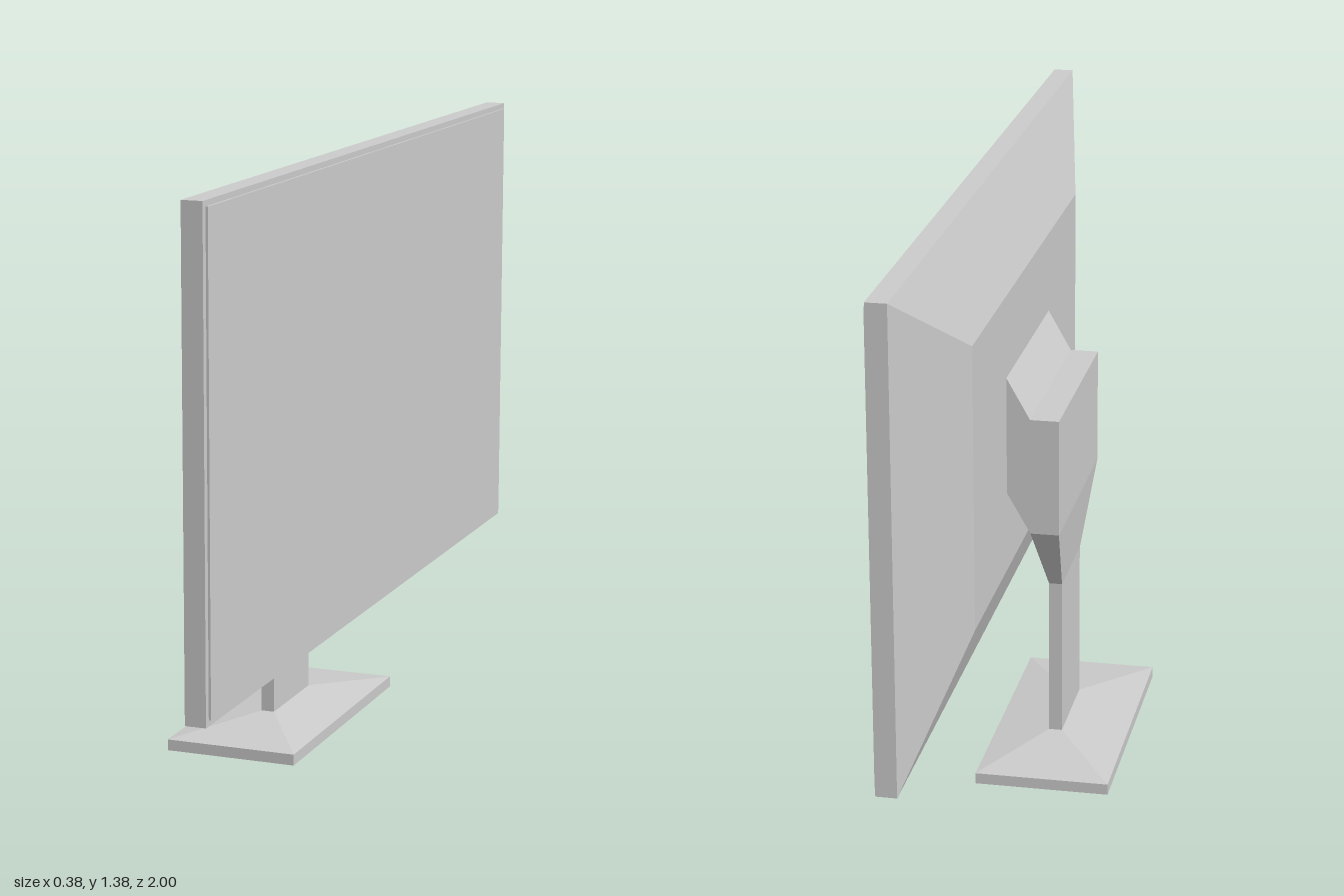
import * as THREE from 'three';

const material = new THREE.MeshStandardMaterial({ color: 0xcccccc, flatShading: true });

// Closed loft through four-cornered rings, each ring counter-clockwise seen from the loft's far end
function loft(name, rings) {
  const index = [];
  for (let r = 0; r < rings.length - 1; r++) {
    for (let i = 0; i < 4; i++) {
      const a = r * 4 + i, b = r * 4 + (i + 1) % 4;
      index.push(a, b, b + 4, a, b + 4, a + 4);
    }
  }
  const t = (rings.length - 1) * 4;
  index.push(0, 2, 1, 0, 3, 2, t, t + 1, t + 2, t, t + 2, t + 3);
  let geometry = new THREE.BufferGeometry();
  geometry.setAttribute('position', new THREE.Float32BufferAttribute(rings.flat(2), 3));
  geometry.setIndex(index);
  geometry = geometry.toNonIndexed();
  geometry.computeVertexNormals();
  const mesh = new THREE.Mesh(geometry, material);
  mesh.name = name;
  return mesh;
}

// Rectangle at height y, and rectangle at depth x; both symmetric in z
const level = (y, x0, x1, z) => [[x0, y, z], [x1, y, z], [x1, y, -z], [x0, y, -z]];
const slice = (x, y0, y1, z) => [[x, y0, -z], [x, y1, -z], [x, y1, z], [x, y0, z]];

export function createModel() {
  const group = new THREE.Group();
  group.name = 'monitor';

  // Stand: low pyramid base, flat column, flared neck
  group.add(
    loft('base', [
      level(0, -0.192, 0.12, 0.33),
      level(0.026, -0.192, 0.12, 0.33),
      level(0.05, -0.044, -0.013, 0.115),
    ]),
    loft('column', [
      level(0.05, -0.044, -0.013, 0.115),
      level(0.427, -0.044, -0.013, 0.115),
    ]),
    loft('neck', [
      level(0.427, -0.044, -0.013, 0.115),
      level(0.605, -0.062, 0.004, 0.25),
    ]),
  );

  // Mount block, its front part slanting up to the housing
  group.add(loft('mount', [
    slice(-0.062, 0.605, 0.88, 0.25),
    slice(0.004, 0.605, 0.88, 0.25),
    slice(0.058, 0.70, 0.976, 0.25),
  ]));

  // Tapered housing with frame, and the slightly raised screen facing +x
  group.add(
    loft('housing', [
      slice(0.058, 0.512, 1.167, 0.6),
      slice(0.14, 0.296, 1.382, 1),
      slice(0.187, 0.296, 1.382, 1),
    ]),
    loft('screen', [
      slice(0.18, 0.309, 1.369, 0.985),
      slice(0.192, 0.309, 1.369, 0.985),
    ]),
  );
  return group;
}
